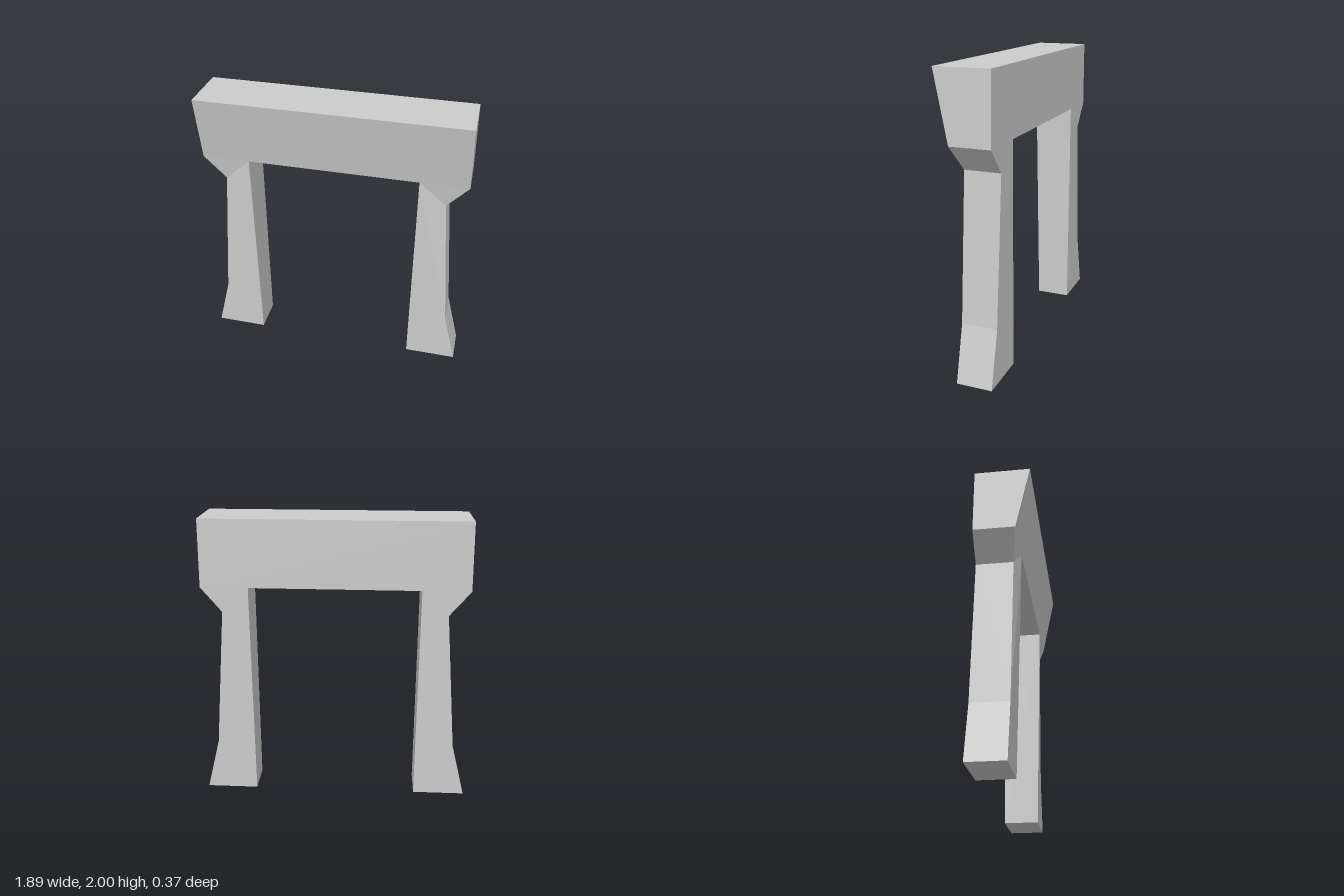
import * as THREE from 'three';

const BACK = -0.185;

// Corner points [x, y, front z]; the back is flat.
const topOuter = [0.895, 2, 0.185];
const beamOuter = [0.905, 1.54, 0.09];
const innerTop = [0.58, 1.54, 0.09];
const shoulder = [0.763, 1.37, 0.06];
const knee = [0.848, 0.38, 0.058];
const foot = [0.943, 0, 0.058];
const innerFoot = [0.58, 0, 0.058];
const flip = ([x, y, z]) => [-x, y, z];

// Slab from a counter-clockwise outline, fanned from its first point.
// walls[i] tells whether the edge from point i to the next one is closed.
function slab(outline, walls, mirrored = false) {
  const positions = [];
  const side = mirrored ? -1 : 1;
  const triangle = (a, b, c) => {
    for (const [x, y, z] of mirrored ? [a, c, b] : [a, b, c]) positions.push(x * side, y, z);
  };
  const back = outline.map(([x, y]) => [x, y, BACK]);
  const n = outline.length;
  for (let i = 1; i < n - 1; i++) {
    triangle(outline[0], outline[i], outline[i + 1]);
    triangle(back[0], back[i + 1], back[i]);
  }
  for (let i = 0; i < n; i++) {
    if (!walls[i]) continue;
    const j = (i + 1) % n;
    triangle(outline[i], back[i], back[j]);
    triangle(outline[i], back[j], outline[j]);
  }
  const geometry = new THREE.BufferGeometry();
  geometry.setAttribute('position', new THREE.Float32BufferAttribute(positions, 3));
  geometry.computeVertexNormals();
  return geometry;
}

export function createModel() {
  const model = new THREE.Group();
  model.name = 'gateway';
  const material = new THREE.MeshStandardMaterial({ color: 0xcccccc, flatShading: true });
  const add = (parent, name, geometry) => {
    const mesh = new THREE.Mesh(geometry, material);
    mesh.name = name;
    parent.add(mesh);
  };

  // Lintel leaning forward at the top
  add(model, 'lintel', slab(
    [flip(topOuter), flip(beamOuter), flip(innerTop), innerTop, beamOuter, topOuter],
    [true, false, true, false, true, true]
  ));

  // Flared legs with a bracket under each end of the lintel
  for (const mirrored of [false, true]) {
    const leg = new THREE.Group();
    leg.name = mirrored ? 'rightLeg' : 'leftLeg';
    add(leg, 'post', slab(
      [knee, shoulder, innerTop, innerFoot, foot],
      [true, false, true, true, true], mirrored
    ));
    add(leg, 'bracket', slab([beamOuter, innerTop, shoulder], [false, false, true], mirrored));
    model.add(leg);
  }
  return model;
}
